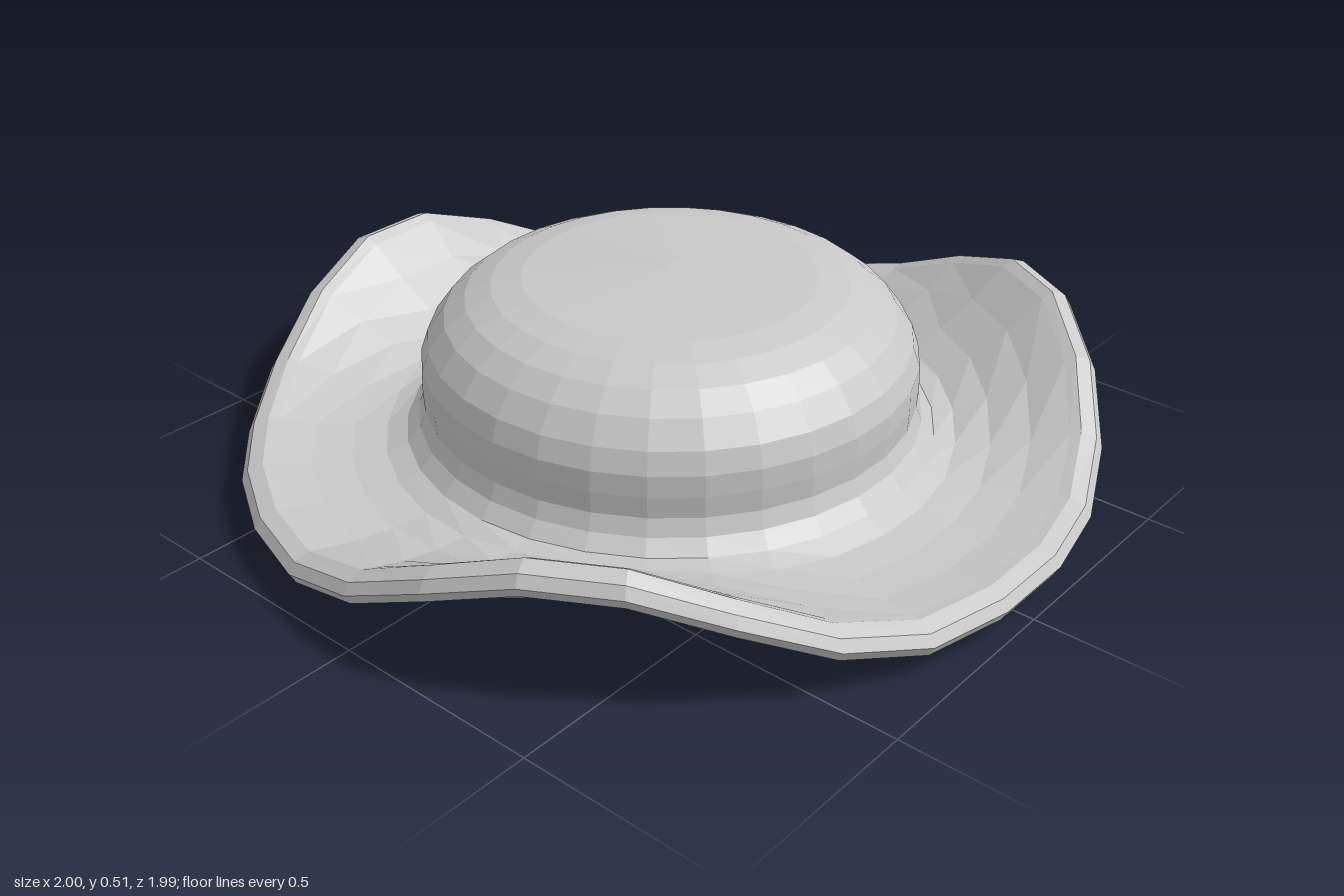
import * as THREE from 'three';

const SIDES = 30;
const STEP = (Math.PI * 2) / SIDES;

const grey = new THREE.MeshStandardMaterial({ color: 0xc8c8c8 });
grey.name = 'plain grey';
grey.flatShading = true;

const vectors = (pairs) => pairs.map(([r, y]) => new THREE.Vector2(r, y));
const lathe = (pairs) => new THREE.LatheGeometry(vectors(pairs), SIDES, STEP / 2);

// Upward fold of the rim, from the middle of a low side to the middle of a peak
const FOLD = [0, 0.005, 0.06, 0.15, 0.22, 0.22];
function foldHeight(angle) {
  const third = (Math.PI * 2) / 3;
  const a = ((angle % third) + third) % third;
  const fromLow = Math.min(a, third - a);
  const i = THREE.MathUtils.clamp(Math.round(fromLow / STEP - 0.5), 0, FOLD.length - 1);
  return FOLD[i];
}

// Brim: a turned disc with a thick bevelled edge, folded up at three peaks
function brimGeometry() {
  const geo = lathe([
    [0, 0], [0.55, 0.003], [0.68, 0.008], [0.81, 0.016], [0.94, 0.028],
    [0.985, 0.048], [1, 0.075], [0.985, 0.1], [0.95, 0.113], [0.925, 0.108],
    [0.84, 0.096], [0.75, 0.093], [0.67, 0.102], [0.62, 0.125], [0.59, 0.16], [0.575, 0.2],
  ]);
  const p = geo.attributes.position;
  for (let i = 0; i < p.count; i++) {
    const x = p.getX(i), z = p.getZ(i);
    const out = THREE.MathUtils.clamp((Math.hypot(x, z) - 0.61) / 0.33, 0, 1);
    p.setY(i, p.getY(i) + foldHeight(Math.atan2(x, z)) * Math.pow(out, 1.1));
  }
  geo.computeVertexNormals();
  return geo;
}

export function createModel() {
  const hat = new THREE.Group();
  hat.name = 'hat';

  const add = (name, geometry) => {
    const mesh = new THREE.Mesh(geometry, grey);
    mesh.name = name;
    hat.add(mesh);
    return mesh;
  };

  add('brim', brimGeometry());

  // Low domed crown
  add('crown', lathe([
    [0.575, 0.19], [0.578, 0.25], [0.577, 0.3], [0.56, 0.35], [0.52, 0.405],
    [0.47, 0.445], [0.41, 0.472], [0.34, 0.488], [0, 0.51],
  ]));

  // Oval button on the back left of the crown
  const button = add('button', new THREE.SphereGeometry(1, 16, 10));
  button.scale.set(0.05, 0.056, 0.035);
  button.position.set(0.433, 0.275, -0.458);
  button.rotation.y = -Math.PI / 4;

  return hat;
}
